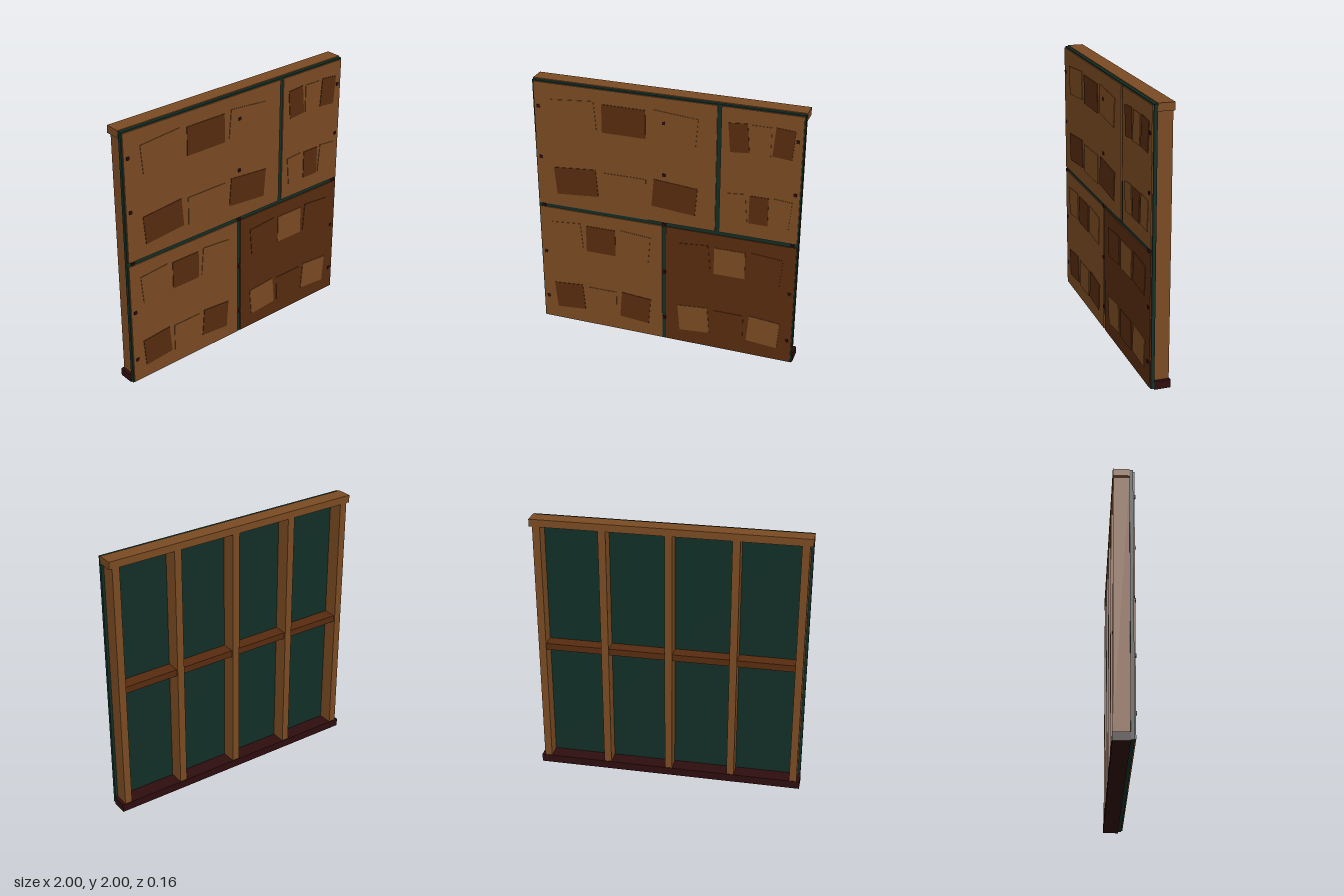
import * as THREE from 'three';

const mat = (name, color) => {
  const m = new THREE.MeshStandardMaterial({ color });
  m.name = name;
  return m;
};

export function createModel() {
  const wood = mat('wood', 0x794a22);
  const darkWood = mat('darkWood', 0x572b0e);
  const backing = mat('greenBacking', 0x112e26);
  const iron = mat('darkRed', 0x2e0d0e);

  const wall = new THREE.Group();
  wall.name = 'timberWall';

  // Box given by its extents on each axis
  const box = (name, material, [x0, x1], [y0, y1], [z0, z1], parent = wall) => {
    const mesh = new THREE.Mesh(new THREE.BoxGeometry(x1 - x0, y1 - y0, z1 - z0), material);
    mesh.position.set((x0 + x1) / 2, (y0 + y1) / 2, (z0 + z1) / 2);
    mesh.name = name;
    parent.add(mesh);
    return mesh;
  };

  // Frame: plates, five studs and the blocking between them
  box('topPlate', wood, [-1, 1], [1.945, 2], [-0.078, 0.037]);
  box('bottomPlate', iron, [-1, 1], [0, 0.06], [-0.078, 0.037]);
  const studX = [-0.95, -0.475, 0, 0.475, 0.95];
  const half = 0.0275;
  studX.forEach((x, i) => {
    box('stud', wood, [x - half, x + half], [0.06, 1.945], [-0.074, 0.037]);
    if (i < 4) box('blocking', darkWood, [x + half, studX[i + 1] - half], [0.975, 1.025], [-0.062, 0.037]);
  });

  // Backing sheet behind the panels
  box('backingSheet', backing, [-0.997, 0.997], [0.008, 1.994], [0.037, 0.062]);

  // Front panels, each with two rows of three patches in alternating colours
  const panels = [
    { x: [-0.988, 0.385], y: [1.015, 1.985], base: wood, firstDark: false },
    { x: [0.415, 0.988], y: [1.015, 1.985], base: wood, firstDark: true },
    { x: [-0.988, -0.015], y: [0.015, 0.985], base: wood, firstDark: false },
    { x: [0.015, 0.988], y: [0.015, 0.985], base: darkWood, firstDark: true },
  ];
  for (const p of panels) {
    const group = new THREE.Group();
    group.name = 'panelWithPatches';
    wall.add(group);
    box('panel', p.base, p.x, p.y, [0.062, 0.071], group);
    const w = p.x[1] - p.x[0];
    const cx = (p.x[0] + p.x[1]) / 2;
    const cy = (p.y[0] + p.y[1]) / 2;
    [0.27, -0.265].forEach((dy, row) => {
      for (let col = -1; col <= 1; col++) {
        const dark = ((col + 1 + row) % 2 === 0) === p.firstDark;
        const x = cx + col * w * 0.277;
        const patch = box('patch', dark ? darkWood : wood,
          [x - w * 0.12, x + w * 0.12], [cy + dy - 0.108, cy + dy + 0.108], [0.071, 0.075], group);
        patch.rotation.z = -col * 0.085;
      }
    });
  }

  // Square nail heads in three columns
  for (const x of [-0.955, 0, 0.955]) {
    for (const y of [0.2, 0.6, 1, 1.4, 1.8]) {
      box('nail', iron, [x - 0.011, x + 0.011], [y - 0.011, y + 0.011], [0.062, 0.078]);
    }
  }
  return wall;
}
